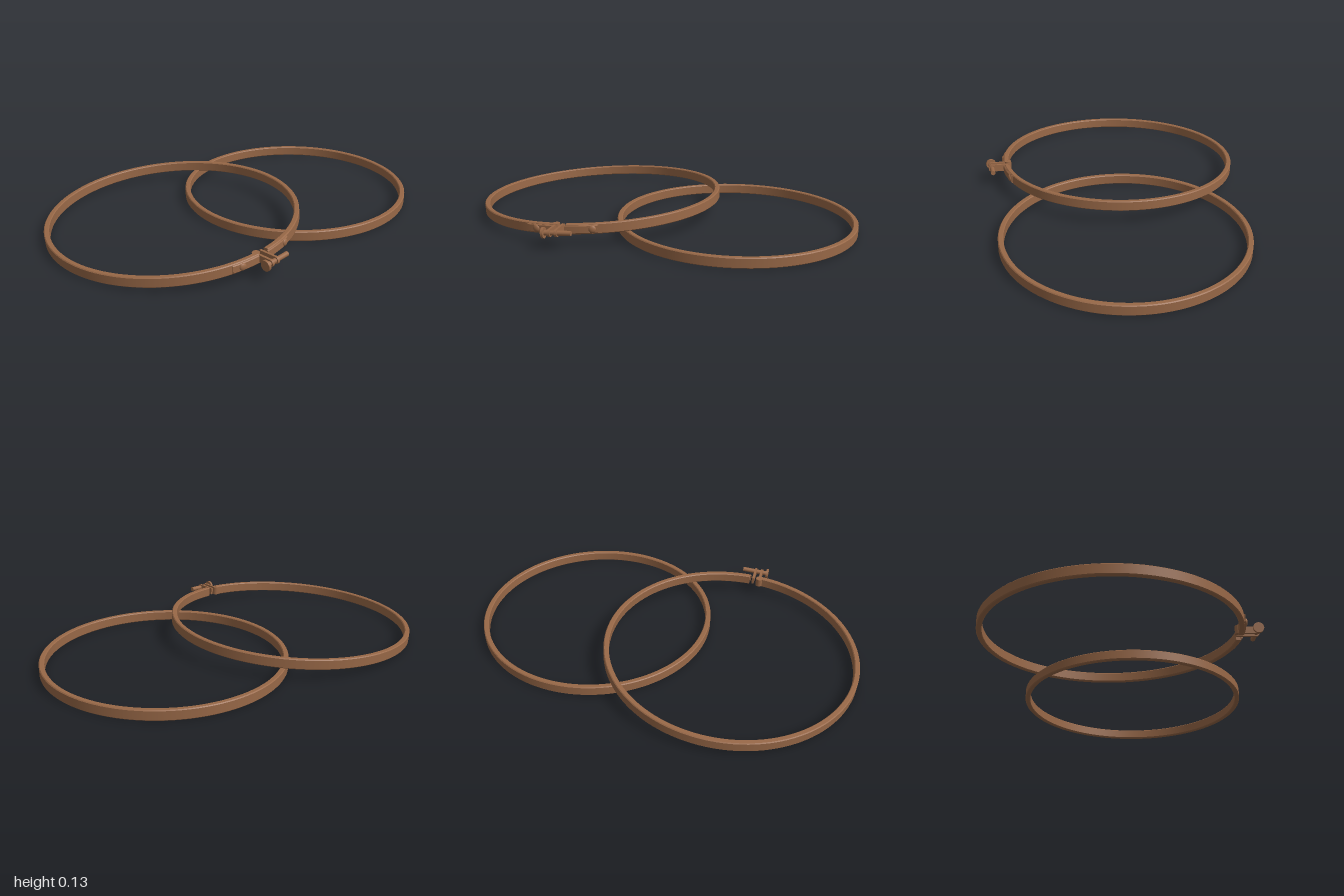
import * as THREE from 'three';

const wood = new THREE.MeshStandardMaterial({ color: 0x986847, side: THREE.DoubleSide });
wood.name = 'brown wood';

function add(parent, name, geometry) {
  const mesh = new THREE.Mesh(geometry, wood);
  mesh.name = name;
  parent.add(mesh);
  return mesh;
}

// Chamfered rectangular band section, counter-clockwise from the lower outer edge
function section(inner, outer, h) {
  const c = 0.004;
  return [
    [outer, -h + c], [outer, h - c], [outer - c, h], [inner + c, h],
    [inner, h - c], [inner, -h + c], [inner + c, -h], [outer - c, -h],
  ].map(([x, y]) => new THREE.Vector2(x, y));
}

// Sweeps the section round y; angles start at +z and grow towards +x
function band(parent, name, inner, outer, h, start, length) {
  const pts = section(inner, outer, h);
  const profile = [];
  pts.forEach((p, i) => profile.push(p, p.clone(), pts[(i + 1) % pts.length].clone()));
  const segments = Math.max(6, Math.ceil(length * 18));
  add(parent, name, new THREE.LatheGeometry(profile, segments, start, length));
  if (length > 6.28) return;
  for (const a of [start, start + length]) {
    const cap = new THREE.ShapeGeometry(new THREE.Shape(pts));
    cap.rotateY(a - Math.PI / 2);
    add(parent, name + 'End', cap);
  }
}

export function createModel() {
  const model = new THREE.Group();
  model.name = 'embroideryHoop';

  // Plain closed ring lying flat
  const innerHoop = new THREE.Group();
  innerHoop.name = 'innerHoop';
  innerHoop.position.set(0.396, 0.034, -0.078);
  innerHoop.rotation.x = -0.005;
  model.add(innerHoop);
  band(innerHoop, 'innerRing', 0.57, 0.596, 0.025, 0, Math.PI * 2);

  // Split ring tilted over the flat one
  const outerHoop = new THREE.Group();
  outerHoop.name = 'outerHoop';
  outerHoop.position.set(-0.365, 0.07, -0.045);
  outerHoop.rotation.set(-0.008, 0, 0.063);
  model.add(outerHoop);
  const gapStart = 0.18, gapEnd = 0.27;
  band(outerHoop, 'outerRing', 0.602, 0.628, 0.025, gapEnd, Math.PI * 2 - (gapEnd - gapStart));

  // Bracket straps and rivets on both sides of the gap
  band(outerHoop, 'leftStrap', 0.624, 0.634, 0.02, -0.05, 0.24);
  band(outerHoop, 'rightStrap', 0.624, 0.634, 0.02, 0.26, 0.25);
  for (const a of [0.03, 0.47]) {
    const rivet = add(outerHoop, 'rivet', new THREE.SphereGeometry(0.018, 20, 8, 0, Math.PI * 2, 0, Math.PI / 2));
    rivet.scale.y = 0.5;
    rivet.rotation.set(Math.PI / 2, 0, -a, 'YXZ');
    rivet.rotation.y = a;
    rivet.rotation.z = 0;
    rivet.position.set(Math.sin(a) * 0.633, 0, Math.cos(a) * 0.633);
  }

  // Clamp frame: x runs along the band, z points outwards
  const clamp = new THREE.Group();
  clamp.name = 'clamp';
  clamp.rotation.y = 0.23;
  clamp.position.set(Math.sin(0.215) * 0.61, 0.003, Math.cos(0.215) * 0.61);
  outerHoop.add(clamp);

  // Two round-ended lugs
  const lug = new THREE.Shape();
  lug.moveTo(-0.01, -0.018);
  lug.lineTo(0.085, -0.018);
  lug.absarc(0.085, 0, 0.018, -Math.PI / 2, Math.PI / 2, false);
  lug.lineTo(-0.01, 0.018);
  lug.closePath();
  for (const x of [-0.02, 0.014]) {
    const g = new THREE.ExtrudeGeometry(lug, { depth: 0.012, bevelEnabled: false, curveSegments: 12 });
    g.rotateY(-Math.PI / 2);
    g.translate(x + 0.006, 0, 0);
    add(clamp, 'lug', g);
  }

  // Rolled pin at the root of the left lug
  add(clamp, 'lugPin', new THREE.CylinderGeometry(0.018, 0.018, 0.042, 20)).position.set(-0.02, 0, -0.005);

  // Tightening screw with a flat round head
  const shaft = add(clamp, 'screwShaft', new THREE.CylinderGeometry(0.012, 0.012, 0.135, 20));
  shaft.rotation.z = Math.PI / 2;
  shaft.position.set(0.018, 0, 0.085);
  const head = add(clamp, 'screwHead', new THREE.CylinderGeometry(0.026, 0.026, 0.012, 28));
  head.rotation.z = Math.PI / 2;
  head.position.set(-0.05, 0, 0.085);

  return model;
}
